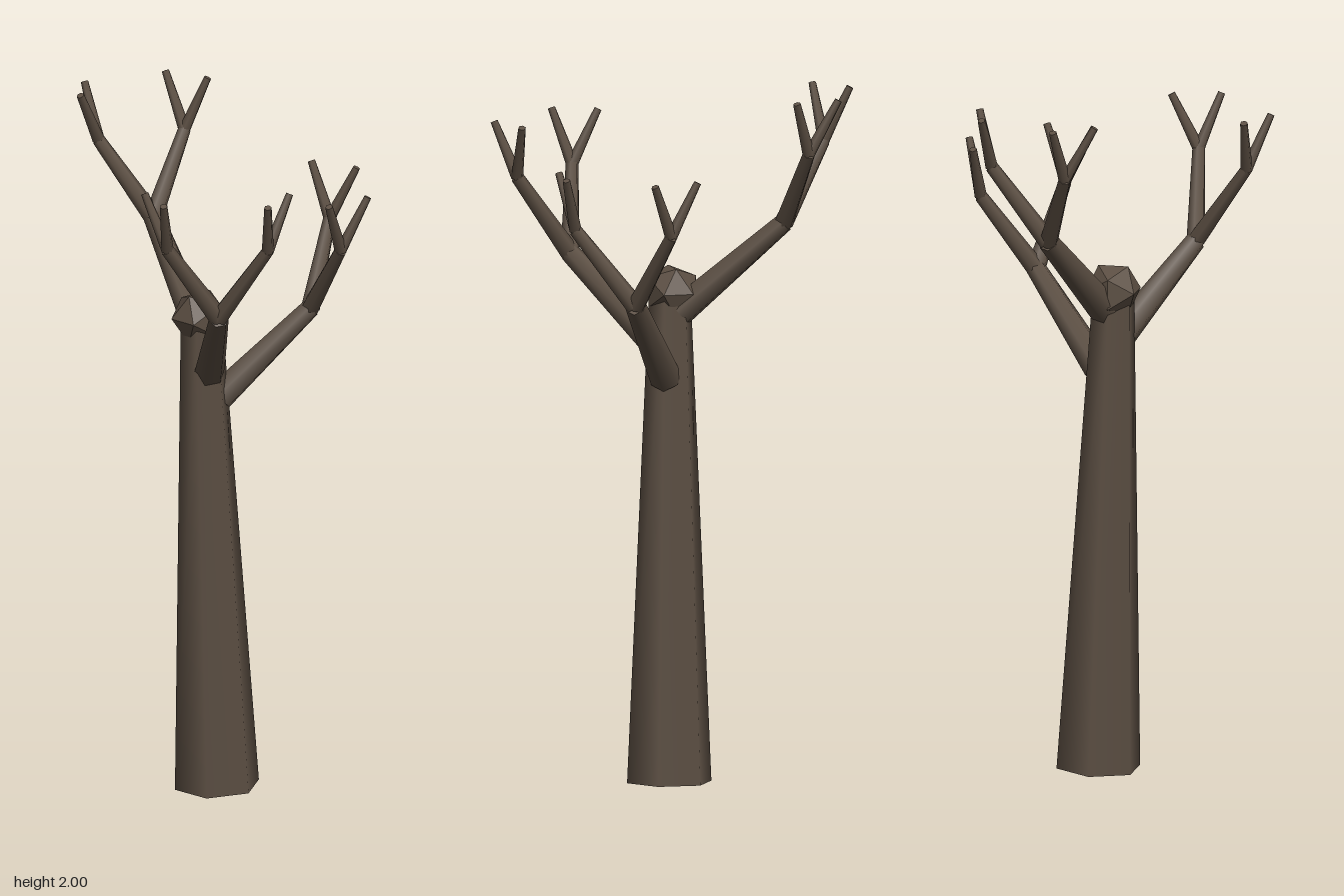
import * as THREE from 'three';

const UP = new THREE.Vector3(0, 1, 0);

export function createModel() {
  const tree = new THREE.Group();
  tree.name = 'bareTree';
  const bark = new THREE.MeshStandardMaterial({ color: 0x5c4f43 });
  const knotBark = bark.clone();
  knotBark.flatShading = true;

  // Tapered wooden segment between two points
  function segment(parent, name, from, to, r0, r1, sides) {
    const a = new THREE.Vector3(...from);
    const b = new THREE.Vector3(...to);
    const dir = b.clone().sub(a);
    const mesh = new THREE.Mesh(new THREE.CylinderGeometry(r1, r0, dir.length(), sides), bark);
    mesh.position.copy(a).add(b).multiplyScalar(0.5);
    mesh.quaternion.setFromUnitVectors(UP, dir.normalize());
    mesh.name = name;
    parent.add(mesh);
  }

  // Leaning trunk
  segment(tree, 'trunk', [0.018, 0.004, 0.04], [-0.03, 1.41, 0.025], 0.125, 0.062, 6);

  // Faceted knot closing the trunk top
  const knot = new THREE.Mesh(new THREE.IcosahedronGeometry(0.083, 0), knotBark);
  knot.position.set(-0.031, 1.415, 0.018);
  knot.name = 'trunkKnot';
  tree.add(knot);

  // Each limb forks into two boughs, each bough into two twigs
  const limbs = [
    {
      name: 'backLimb', base: [-0.01, 1.36, 0], end: [0.09, 1.62, -0.28],
      boughs: [
        { end: [0.01, 1.84, -0.42], twigs: [[0.028, 1.995, -0.493], [-0.076, 1.995, -0.41]] },
        { end: [0.25, 1.84, -0.31], twigs: [[0.26, 1.995, -0.395], [0.296, 1.995, -0.262]] },
      ],
    },
    {
      name: 'rightLimb', base: [-0.035, 1.26, 0.06], end: [-0.215, 1.51, 0.27],
      boughs: [
        { end: [-0.375, 1.74, 0.22], twigs: [[-0.386, 1.895, 0.14], [-0.437, 1.895, 0.264]] },
        { end: [-0.185, 1.74, 0.435], twigs: [[-0.24, 1.895, 0.488], [-0.103, 1.895, 0.443]] },
      ],
    },
    {
      name: 'leftLimb', base: [0.018, 1.172, 0.05], end: [0.238, 1.42, 0.2],
      boughs: [
        { end: [0.385, 1.64, 0.135], twigs: [[0.39, 1.795, 0.058], [0.433, 1.795, 0.196]] },
        { end: [0.19, 1.64, 0.365], twigs: [[0.112, 1.795, 0.393], [0.255, 1.795, 0.41]] },
      ],
    },
  ];

  for (const limb of limbs) {
    const group = new THREE.Group();
    group.name = limb.name;
    segment(group, 'limb', limb.base, limb.end, 0.046, 0.03, 6);
    for (const bough of limb.boughs) {
      segment(group, 'bough', limb.end, bough.end, 0.028, 0.019, 6);
      for (const tip of bough.twigs) segment(group, 'twig', bough.end, tip, 0.018, 0.011, 6);
    }
    tree.add(group);
  }

  return tree;
}
